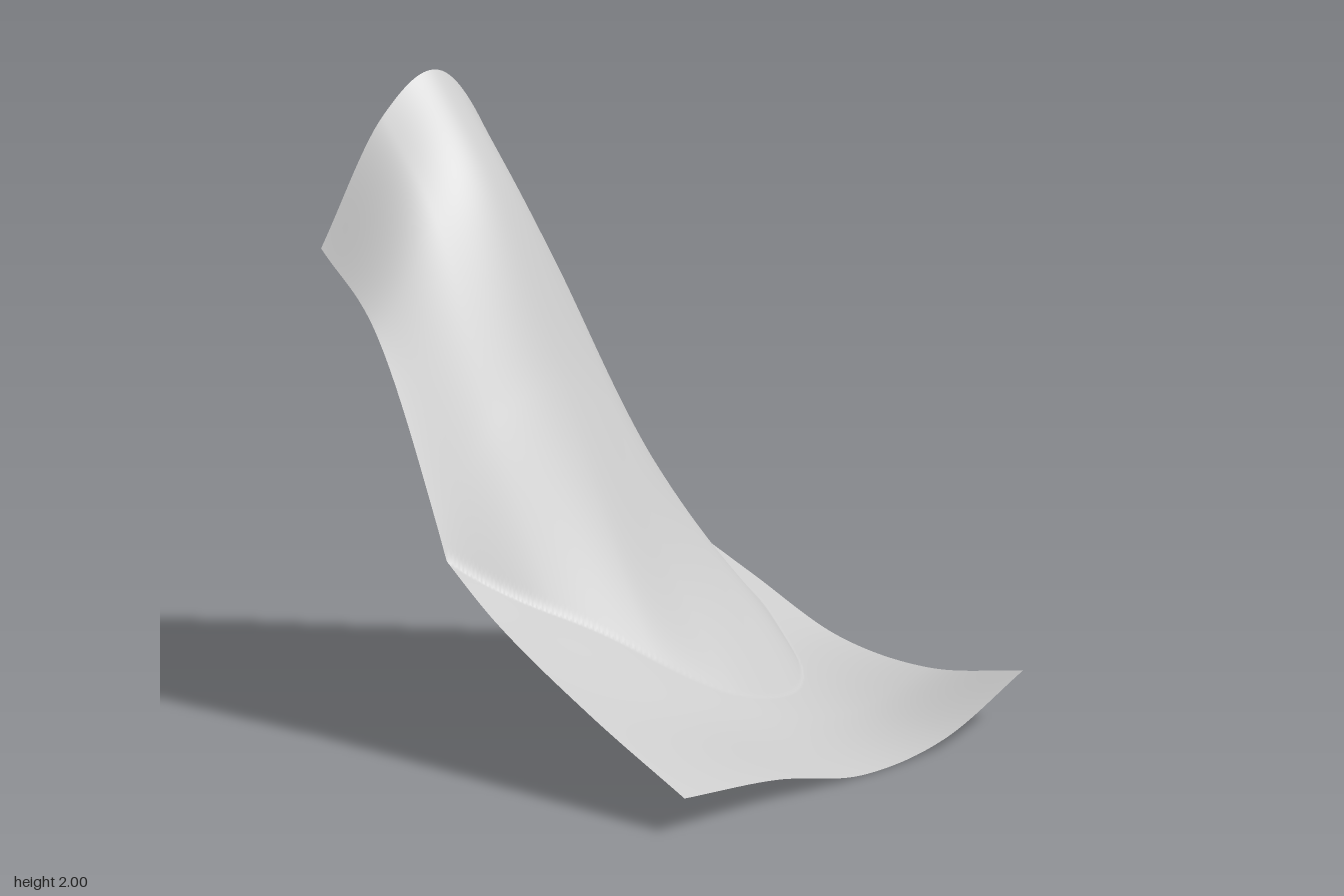
import * as THREE from 'three';

const HALF = 0.755, SEG = 180;

// Heights of the gently curved sheet: rows run front to back, columns -x to +x
const SHEET = [
  [0.11, 0.077, 0.006, 0.034, 0.17],
  [0.275, 0.19, 0.095, 0.04, 0.108],
  [0.47, 0.41, 0.26, 0.118, 0.142],
  [0.73, 0.57, 0.42, 0.28, 0.285],
  [0.9, 0.7, 0.55, 0.47, 0.433],
];

// Heights of the hill, which dives below the sheet outside its foot
const HILL = [
  [-1.5, -1, -0.7, -0.5, -0.55, -0.8, -1.2],
  [-1, -0.55, -0.3, -0.2, -0.25, -0.45, -0.8],
  [-0.5, -0.1, 0.1, 0.135, 0.04, -0.13, -0.45],
  [0.05, 0.41, 0.55, 0.46, 0.335, 0.165, -0.15],
  [0.72, 1.0, 1.07, 0.92, 0.65, 0.38, 0.14],
  [1.25, 1.55, 1.64, 1.36, 0.9, 0.5, 0.24],
  [1.49, 1.87, 1.99, 1.66, 1.08, 0.54, 0.12],
];

// Uniform cubic through evenly spaced values, t in 0..1
function cubic(v, t) {
  const n = v.length - 1;
  const s = THREE.MathUtils.clamp(t, 0, 1) * n;
  const i = Math.min(Math.floor(s), n - 1), f = s - i;
  const a = i > 0 ? v[i - 1] : 2 * v[0] - v[1];
  const d = i < n - 1 ? v[i + 2] : 2 * v[n] - v[n - 1];
  const b = v[i], c = v[i + 1];
  return b + 0.5 * f * (c - a + f * (2 * a - 5 * b + 4 * c - d + f * (3 * (b - c) + d - a)));
}

// Smooth height through a square table of values
function heightAt(table, x, z) {
  const u = (x + HALF) / (2 * HALF), w = (HALF - z) / (2 * HALF);
  return cubic(table.map((row) => cubic(row, u)), w);
}

export function createModel() {
  const group = new THREE.Group();
  group.name = 'curvedSurface';

  // Square sheet with the hill breaking through it along a crease
  const geometry = new THREE.PlaneGeometry(2 * HALF, 2 * HALF, SEG, SEG);
  geometry.rotateX(-Math.PI / 2);
  const pos = geometry.attributes.position;
  for (let i = 0; i < pos.count; i++) {
    const x = pos.getX(i), z = pos.getZ(i);
    pos.setY(i, Math.max(heightAt(SHEET, x, z), heightAt(HILL, x, z)));
  }
  geometry.computeVertexNormals();

  const surface = new THREE.Mesh(
    geometry,
    new THREE.MeshStandardMaterial({ color: 0xcccccc, side: THREE.DoubleSide }),
  );
  surface.name = 'hillSurface';
  group.add(surface);
  return group;
}
